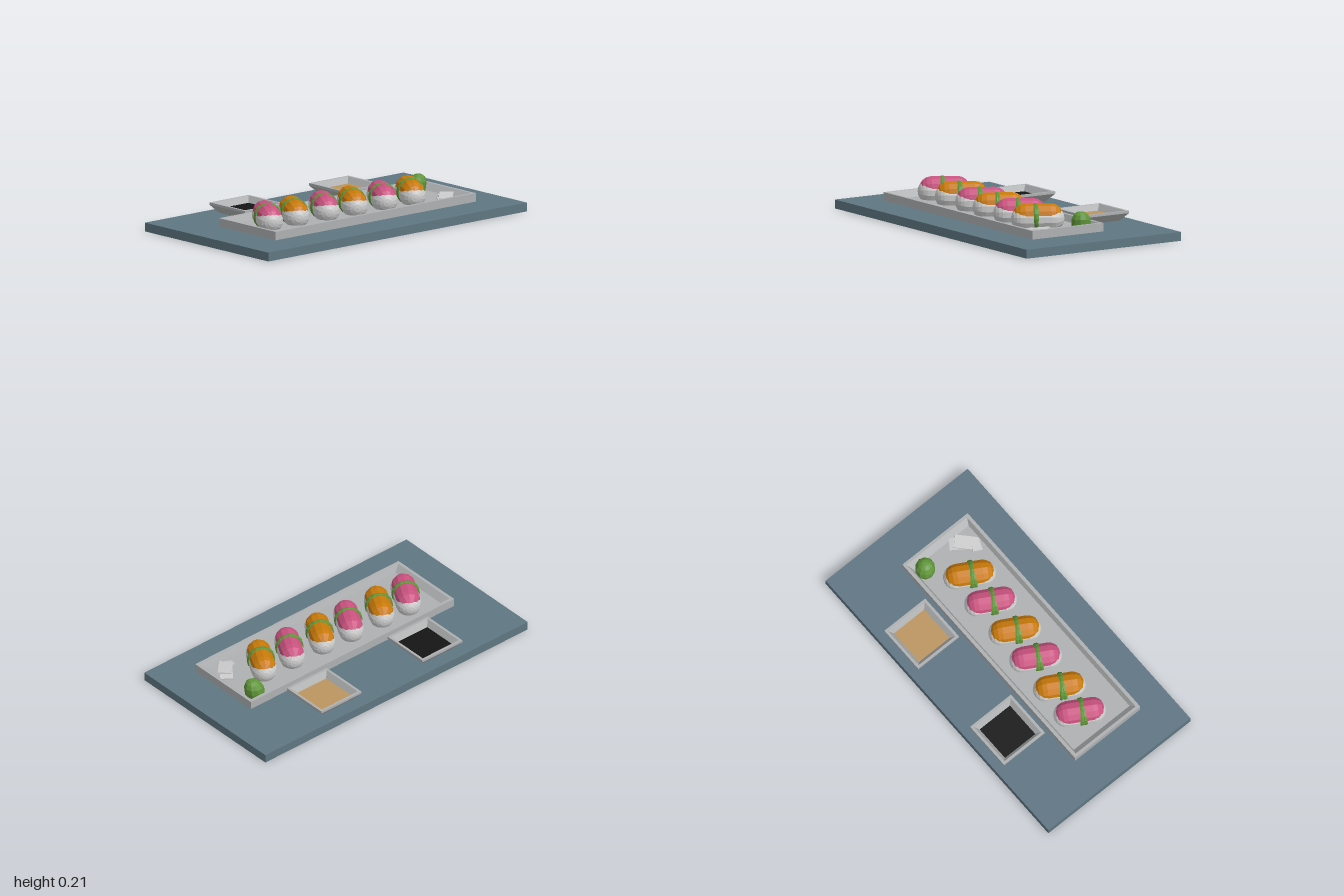
import * as THREE from 'three';

const material = (color) => new THREE.MeshStandardMaterial({ color, flatShading: true });
const slate = material(0x5f7682);
const ceramic = material(0xaeb0b1);
const rice = material(0xdedede);
const pink = material(0xc9527f);
const orange = material(0xc97a0a);
const green = material(0x5f9438);
const tan = material(0xbc9561);
const black = material(0x151515);
const pale = material(0xcccccc);

function add(parent, name, geometry, mat, x = 0, y = 0, z = 0) {
  const mesh = new THREE.Mesh(geometry, mat);
  mesh.name = name;
  mesh.position.set(x, y, z);
  parent.add(mesh);
  return mesh;
}

// Rectangular vessel lofted through rings of [half width, half depth, height]
function vesselGeometry(rings) {
  const corners = [[1, 1], [1, -1], [-1, -1], [-1, 1]];
  const at = (r, i) => {
    const [hw, hd, y] = rings[r];
    const [sx, sz] = corners[i % 4];
    return [sx * hw, y, sz * hd];
  };
  const pos = [];
  const quad = (a, b, c, d) => pos.push(...a, ...b, ...c, ...a, ...c, ...d);
  for (let r = 0; r < rings.length - 1; r++) {
    for (let i = 0; i < 4; i++) quad(at(r, i), at(r, i + 1), at(r + 1, i + 1), at(r + 1, i));
  }
  const last = rings.length - 1;
  quad(at(last, 0), at(last, 1), at(last, 2), at(last, 3));
  quad(at(0, 3), at(0, 2), at(0, 1), at(0, 0));
  const geometry = new THREE.BufferGeometry();
  geometry.setAttribute('position', new THREE.Float32BufferAttribute(pos, 3));
  geometry.computeVertexNormals();
  return geometry;
}

// Capsule lying along x
const lyingCapsule = (radius, length, caps, sides) =>
  new THREE.CapsuleGeometry(radius, length, caps, sides).rotateZ(Math.PI / 2);

// Flat strip looped around the x axis
function bandGeometry() {
  const profile = [[0.07, -0.011], [0.079, -0.011], [0.083, 0], [0.079, 0.011], [0.07, 0.011]];
  return new THREE.LatheGeometry(profile.map(([r, y]) => new THREE.Vector2(r, y)), 16)
    .rotateZ(Math.PI / 2);
}

function sushi(topping) {
  const group = new THREE.Group();
  group.name = 'sushi';
  add(group, 'rice', lyingCapsule(0.075, 0.16, 5, 14), rice, 0, 0.118, 0);
  add(group, 'topping', lyingCapsule(0.072, 0.15, 4, 12), topping, 0, 0.133, 0);
  // two strips crossing at a shallow angle
  for (const side of [-1, 1]) {
    const band = add(group, 'band', bandGeometry(), green, 0.012 + side * 0.004, 0.126, 0);
    band.rotation.y = side * 0.09;
    band.rotation.z = side * 0.05;
  }
  return group;
}

export function createModel() {
  const model = new THREE.Group();
  model.name = 'sushiSet';

  // Board
  add(model, 'board', new THREE.BoxGeometry(1.07, 0.052, 2), slate, 0, 0.026, 0);

  // Long tray with sloping inner walls
  add(model, 'tray', vesselGeometry([
    [0.246, 0.775, 0.06], [0.246, 0.775, 0.11],
    [0.226, 0.757, 0.11], [0.21, 0.722, 0.073],
  ]), ceramic, 0.1, 0, 0);

  // Sauce dishes
  for (const [z, sauce] of [[-0.378, tan], [0.392, black]]) {
    const dish = new THREE.Group();
    dish.name = 'sauceDish';
    dish.position.set(-0.333, 0, z);
    add(dish, 'dish', vesselGeometry([
      [0.113, 0.113, 0.052], [0.154, 0.152, 0.098], [0.154, 0.152, 0.112],
      [0.138, 0.137, 0.112], [0.112, 0.112, 0.074],
    ]), ceramic);
    add(dish, 'sauce', new THREE.BoxGeometry(0.23, 0.004, 0.23), sauce, 0, 0.075, 0);
    model.add(dish);
  }

  // Row of sushi
  const places = [[0.11, -0.475], [0.097, -0.27], [0.09, -0.045], [0.075, 0.16], [0.065, 0.385], [0.055, 0.58]];
  places.forEach(([x, z], i) => {
    const piece = sushi(i % 2 ? pink : orange);
    piece.position.set(x, 0, z);
    piece.rotation.y = -Math.PI / 6;
    model.add(piece);
  });

  // Green paste mound, its top leaning slightly back
  const mound = new THREE.LatheGeometry(
    [[0.001, 0.054], [0.052, 0.056], [0.059, 0.1], [0.056, 0.13], [0.042, 0.155], [0.022, 0.169], [0, 0.172]]
      .map(([r, y]) => new THREE.Vector2(r, y)), 10);
  const p = mound.attributes.position;
  for (let i = 0; i < p.count; i++) {
    const lean = Math.max(0, p.getY(i) - 0.1);
    p.setX(i, p.getX(i) + lean * 0.12);
    p.setZ(i, p.getZ(i) - lean * 0.15);
  }
  add(model, 'pasteMound', mound, green, -0.06, 0, -0.672);

  // Loose pale slices
  const slices = [
    [0.2, 0.083, -0.665, 0.13, 0.075, -0.65, 0.08],
    [0.225, 0.092, -0.65, 0.13, 0.08, -0.78, -0.1],
    [0.265, 0.08, -0.605, 0.06, 0.08, -0.4, -0.3],
  ];
  for (const [x, y, z, w, d, turn, tilt] of slices) {
    const slice = add(model, 'slice', new THREE.BoxGeometry(w, 0.008, d), pale, x, y, z);
    slice.rotation.set(0, turn, tilt);
  }

  return model;
}
